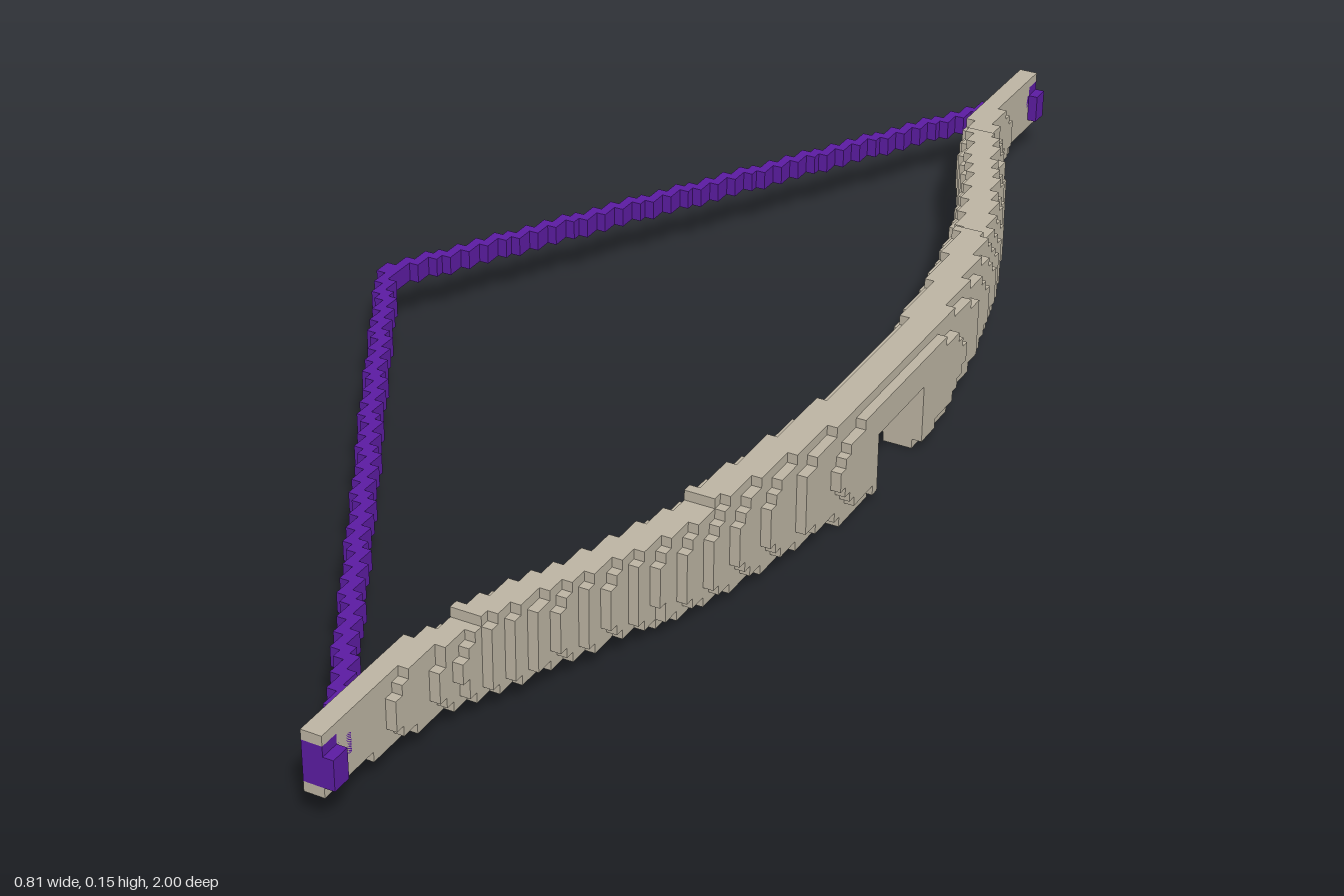
import * as THREE from 'three';
import { mergeGeometries } from 'three/addons/utils/BufferGeometryUtils.js';

const HALF = 72;        // cubes from the grip to each tip
const V = 1 / HALF;     // edge of one cube
const MID = 6;          // row at the middle of the limb height

// Distance from grip, inner edge x, outer edge x
const CURVE = [
  [0, 0.333, 0.403], [0.1, 0.33, 0.403], [0.2, 0.317, 0.395], [0.3, 0.303, 0.376],
  [0.4, 0.282, 0.35], [0.5, 0.252, 0.318], [0.6, 0.218, 0.278], [0.7, 0.172, 0.235],
  [0.8, 0.138, 0.188], [0.87, 0.134, 0.174], [1, 0.134, 0.168],
];

function edgesAt(d) {
  let i = 0;
  while (i < CURVE.length - 2 && CURVE[i + 1][0] < d) i++;
  const a = CURVE[i], b = CURVE[i + 1], t = (d - a[0]) / (b[0] - a[0]);
  return [1, 2].map((c) => THREE.MathUtils.lerp(a[c], b[c], t) / V);
}

// Box given by ranges of grid cells
function block(x0, x1, y0, y1, z0, z1) {
  const g = new THREE.BoxGeometry((x1 - x0) * V, (y1 - y0) * V, (z1 - z0) * V);
  return g.translate((x0 + x1) * V / 2, (y0 + y1) * V / 2, (z0 + z1) * V / 2);
}

// Rounded limb cross-sections, one slice of cubes at a time
function limbGeometry() {
  const parts = [];
  for (let k = -HALF; k < HALF; k++) {
    const d = Math.abs(k + 0.5) * V;
    const [inner, outer] = edgesAt(d);
    const top = d < 0.4 ? 11 : d < 0.74 ? 10 : 9;
    const bottom = d < 0.17 ? 0 : d < 0.5 ? 1 : d < 0.9 ? 2 : 3;
    const centre = (inner + outer) / 2, half = (outer - inner) / 2;
    let run = null;
    const flush = () => { if (run) parts.push(block(run.x0, run.x1, run.y0, run.y1, k, k + 1)); run = null; };
    for (let y = bottom; y < top; y++) {
      const notch = k >= -4 && k < 6 && y < 7;     // arrow rest
      const knot = d > 1 - 2 * V && y > 3 && y < 8; // room for the string knot
      if (notch || knot) { flush(); continue; }
      const r = y + 0.5 - MID;
      const t = Math.abs(r) / (r > 0 ? top - MID : MID - bottom);
      const w = half * Math.pow(1 - Math.pow(t, 2.8), 1 / 2.8);
      const x0 = Math.round(centre - w), x1 = Math.max(x0 + 1, Math.round(centre + w));
      if (run && run.x0 === x0 && run.x1 === x1) run.y1 = y + 1;
      else { flush(); run = { x0, x1, y0: y, y1: y + 1 }; }
    }
    flush();
  }
  return mergeGeometries(parts);
}

// Drawn string, stepping from the pulled point to both tips
function stringGeometry() {
  const parts = [block(-29, -28, 6, 7, -1, 1)];
  for (let k = -HALF; k < HALF; k++) {
    const a = Math.abs(k + 0.5) - 0.5;
    if (a >= HALF - 2) continue;
    const x0 = Math.floor(-28.4 + 0.575 * a);
    const x1 = Math.floor(-28.4 + 0.575 * (a + 1)) + 1;
    parts.push(block(x0, x1, 5, 7, k, k + 1));
  }
  return mergeGeometries(parts);
}

// Knot seated in a limb tip
function knotGeometry(side) {
  const z0 = side > 0 ? HALF - 2 : -HALF, z1 = z0 + 2;
  return mergeGeometries([
    block(10, 13, 5, 7, z0, z1),
    block(10, 13, 4, 5, z0, z1),
    block(10, 12, 7, 8, z0, z1),
  ]);
}

export function createModel() {
  const bone = new THREE.MeshStandardMaterial({ color: 0xbdb5a3 });
  bone.name = 'paleWood';
  const purple = new THREE.MeshStandardMaterial({ color: 0x5c1ca2 });
  purple.name = 'purpleString';

  const group = new THREE.Group();
  group.name = 'bow';
  const add = (name, geometry, material) => {
    const mesh = new THREE.Mesh(geometry, material);
    mesh.name = name;
    group.add(mesh);
  };
  add('bowLimbs', limbGeometry(), bone);
  add('bowString', stringGeometry(), purple);
  add('frontKnot', knotGeometry(1), purple);
  add('backKnot', knotGeometry(-1), purple);
  return group;
}
